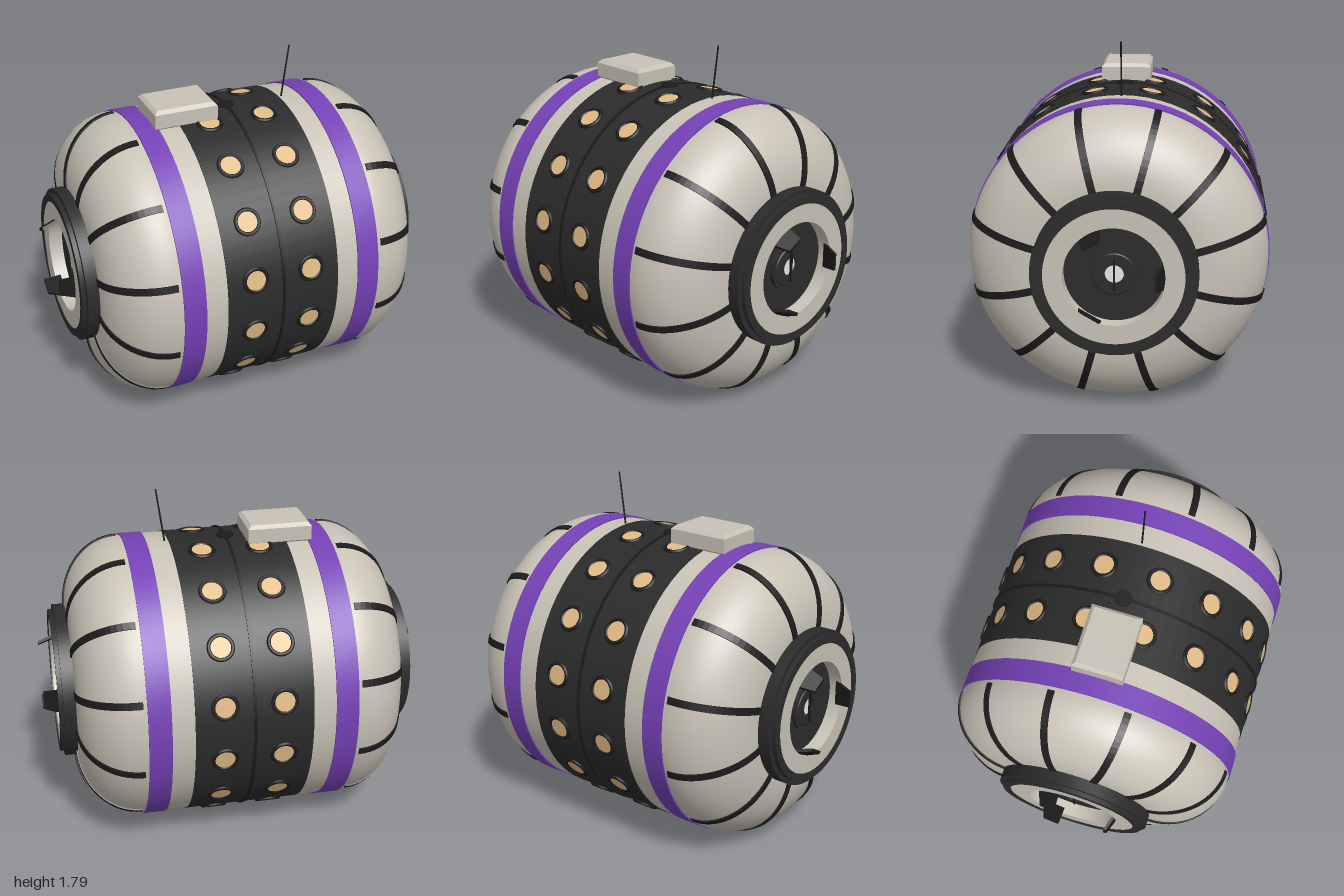
import * as THREE from 'three';
import { toCreasedNormals } from 'three/addons/utils/BufferGeometryUtils.js';

const mat = (name, color) => new THREE.MeshStandardMaterial({ name, color });

export function createModel() {
  const hullGrey = mat('hull grey', 0xc8c2b6);
  const bandDark = mat('band charcoal', 0x2b2b2b);
  const trimBlack = mat('trim black', 0x1c1c1c);
  const purple = mat('stripe purple', 0x7541b6);
  const amber = mat('window amber', 0xe0ba85);
  const white = mat('port white', 0xffffff);

  const model = new THREE.Group();
  model.name = 'stationModule';
  const hull = new THREE.Group();
  hull.name = 'hull';
  hull.position.y = 0.77;
  model.add(hull);

  const add = (parent, name, geometry, material) => {
    const mesh = new THREE.Mesh(geometry, material);
    mesh.name = name;
    parent.add(mesh);
    return mesh;
  };

  // Revolve [x, radius] pairs around the x axis, listed by rising x on the outside
  const revolve = (pairs, crease = 0.5, segments = 72) => {
    const geo = new THREE.LatheGeometry(pairs.map(([x, r]) => new THREE.Vector2(r, x)), segments);
    geo.rotateZ(-Math.PI / 2);
    return crease ? toCreasedNormals(geo, crease) : geo;
  };
  const band = (a, b, r) => revolve([[a, 0.735], [a, r], [b, r], [b, 0.735]]);

  // Rounded shoulder from the cylinder wall to the flat end
  const shoulder = (grow = 0) => {
    const pts = [];
    for (let i = 0; i <= 16; i++) {
      const t = (i / 16) * Math.PI / 2;
      pts.push([0.55 + (0.3 + grow) * Math.sin(t), 0.4 + (0.35 + grow) * Math.cos(t)]);
    }
    return pts;
  };

  // Pressure shell
  const right = shoulder();
  const left = right.map(([x, r]) => [-x, r]).reverse();
  add(hull, 'shell', revolve([...left, ...right], 0), hullGrey);

  // Bands around the shell
  add(hull, 'windowBand', band(-0.3, 0.3, 0.754), bandDark);
  add(hull, 'seamRing', band(-0.007, 0.007, 0.761), trimBlack);
  for (const s of [-1, 1]) add(hull, 'stripe', band(s * 0.473 - 0.058, s * 0.473 + 0.058, 0.757), purple);

  // Two rows of sixteen round windows
  const bezelGeo = new THREE.TorusGeometry(0.06, 0.011, 8, 28);
  const paneGeo = new THREE.CircleGeometry(0.056, 28);
  for (const x of [-0.15, 0.15]) {
    for (let i = 0; i < 16; i++) {
      const port = new THREE.Group();
      port.name = 'window';
      port.rotation.x = ((i + 0.5) / 16) * Math.PI * 2;
      port.position.x = x;
      add(port, 'windowBezel', bezelGeo, trimBlack).position.z = 0.753;
      add(port, 'windowPane', paneGeo, amber).position.z = 0.758;
      hull.add(port);
    }
  }

  // Rib following the shoulder curve, extruded across its width
  const ribShape = new THREE.Shape(
    [...shoulder(0.007), ...shoulder(-0.02).reverse()].map(([x, r]) => new THREE.Vector2(x, r)));
  const ribGeo = new THREE.ExtrudeGeometry(ribShape, { depth: 0.036, bevelEnabled: false });
  ribGeo.translate(0, 0, -0.018);

  // Docking guide petal, narrowing and leaning inward toward its tip
  const petalGeo = new THREE.BoxGeometry(0.1, 0.016, 0.13).toNonIndexed();
  const p = petalGeo.attributes.position;
  for (let i = 0; i < p.count; i++) {
    const t = p.getX(i) / 0.1 + 0.5;
    p.setXYZ(i, 0.9 + 0.1 * t, p.getY(i) + 0.24 - 0.035 * t, p.getZ(i) * (1 - 0.33 * t));
  }
  petalGeo.computeVertexNormals();

  // Both ends are the same assembly turned half round
  for (const turn of [0, Math.PI]) {
    const end = new THREE.Group();
    end.name = turn ? 'rightEnd' : 'leftEnd';
    end.rotation.y = turn;
    hull.add(end);

    for (let i = 0; i < 12; i++) {
      add(end, 'rib', ribGeo, trimBlack).rotation.x = ((i + 0.5) / 12) * Math.PI * 2;
    }

    // Docking port: stepped collar, pale ring, recessed floor, hub
    add(end, 'dockCollar', revolve([[0.83, 0.405], [0.912, 0.405], [0.912, 0.38],
      [0.935, 0.38], [0.935, 0.34], [0.9, 0.34]]), bandDark);
    add(end, 'dockRing', revolve([[0.9, 0.342], [0.93, 0.342], [0.93, 0.245], [0.855, 0.245]]), hullGrey);
    add(end, 'dockFloor', revolve([[0.858, 0.25], [0.858, 0]]), bandDark);
    add(end, 'dockHub', revolve([[0.855, 0.122], [0.88, 0.122], [0.88, 0.105],
      [0.885, 0.1], [0.885, 0.046], [0.855, 0.046]]), bandDark);
    add(end, 'hubPort', revolve([[0.872, 0.048], [0.872, 0]]), white);
    add(end, 'hubBar', new THREE.BoxGeometry(0.012, 0.16, 0.01), trimBlack).position.x = 0.889;
    for (const a of [-90, 30, 150]) {
      add(end, 'guidePetal', petalGeo, trimBlack).rotation.x = THREE.MathUtils.degToRad(a);
    }
  }

  // Equipment box with chamfered edges on the roof
  const c = 0.018, w = 0.335 / 2 - c, d = 0.262 / 2 - c;
  const plan = new THREE.Shape([[-w, -d], [w, -d], [w, d], [-w, d]].map(([x, y]) => new THREE.Vector2(x, y)));
  const boxGeo = new THREE.ExtrudeGeometry(plan, {
    depth: 0.11 - 2 * c, bevelThickness: c, bevelSize: c, bevelSegments: 1,
  });
  boxGeo.rotateX(-Math.PI / 2);
  add(model, 'equipmentBox', boxGeo, hullGrey).position.set(-0.265, 1.5 + c, 0);

  // Roof cap on the seam
  add(model, 'roofCap', new THREE.CylinderGeometry(0.043, 0.043, 0.03, 24), trimBlack).position.set(0, 1.519, 0);

  // Whip antenna
  const foot = new THREE.Vector3(0.316, 1.5, 0), tip = new THREE.Vector3(0.358, 1.8, 0);
  const whip = add(model, 'antenna', new THREE.CylinderGeometry(0.004, 0.005, foot.distanceTo(tip), 8), trimBlack);
  whip.position.lerpVectors(foot, tip, 0.5);
  whip.quaternion.setFromUnitVectors(new THREE.Vector3(0, 1, 0), tip.clone().sub(foot).normalize());

  return model;
}
